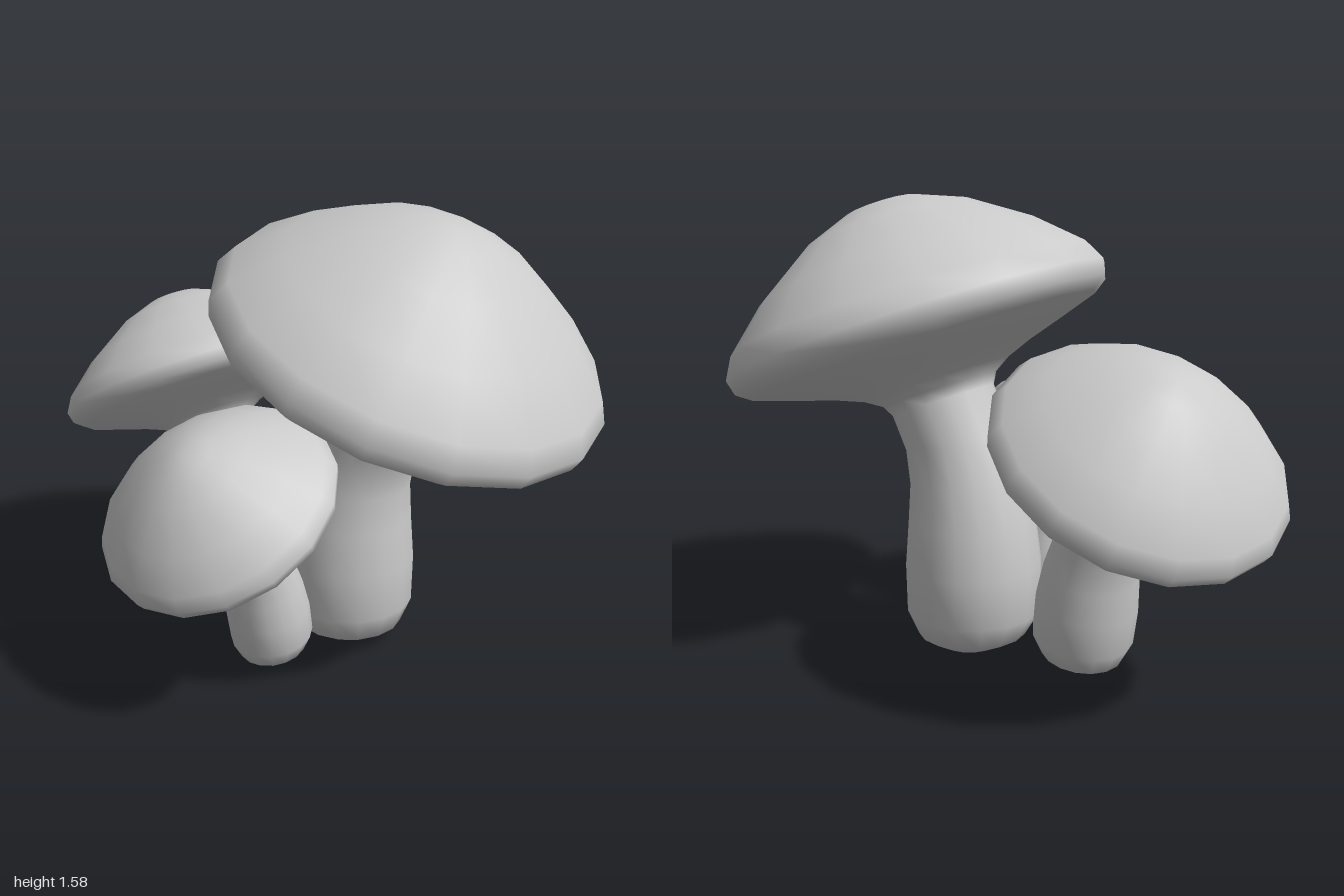
import * as THREE from 'three';
import { mergeVertices } from 'three/addons/utils/BufferGeometryUtils.js';

const SIDES = 16;

// Stem rings, bottom to top: [forward offset, height, radius, forward tilt]
const stem = [
  [0.02, 0, 0, 0], [0.02, 0.01, 0.1, 0], [0.01, 0.06, 0.19, 0], [0, 0.15, 0.235, 0],
  [0, 0.32, 0.238, 0], [0.005, 0.48, 0.222, 0.03], [0.023, 0.62, 0.2, 0.1],
  [0.06, 0.75, 0.186, 0.24],
];

// Cap profile, gills to crown: [radius, height along the tilted cap axis]
const cap = [
  [0.183, -0.26], [0.205, -0.22], [0.26, -0.185], [0.35, -0.15], [0.48, -0.11], [0.62, -0.065],
  [0.67, -0.03], [0.685, 0.025], [0.645, 0.1], [0.5, 0.235], [0.3, 0.37], [0.13, 0.44], [0, 0.46],
];
const CAP_TILT = 0.387, CAP_Z = 0.225, CAP_Y = 1.12;

// One skin lofted through the stem and cap rings
function mushroomGeometry() {
  const rings = [
    ...stem,
    ...cap.map(([r, h]) => [
      CAP_Z + h * Math.sin(CAP_TILT), CAP_Y + h * Math.cos(CAP_TILT), r, CAP_TILT,
    ]),
  ];
  const positions = [], index = [];
  rings.forEach(([z, y, r, tilt], i) => {
    for (let j = 0; j < SIDES; j++) {
      const a = (j / SIDES) * Math.PI * 2;
      const s = r * Math.sin(a);
      positions.push(r * Math.cos(a), y - s * Math.sin(tilt), z + s * Math.cos(tilt));
      if (i === rings.length - 1) continue;
      const k = (j + 1) % SIDES;
      const p = i * SIDES + j, q = i * SIDES + k;
      // the first and last rings are poles, so each needs only one triangle
      if (i < rings.length - 2) index.push(p, p + SIDES, q + SIDES);
      if (i > 0) index.push(p, i < rings.length - 2 ? q + SIDES : p + SIDES, q);
    }
  });
  let g = new THREE.BufferGeometry();
  g.setAttribute('position', new THREE.Float32BufferAttribute(positions, 3));
  g.setIndex(index);
  g = mergeVertices(g, 1e-5);
  g.computeVertexNormals();
  return g;
}

export function createModel() {
  const group = new THREE.Group();
  group.name = 'mushroomCluster';
  const geometry = mushroomGeometry();
  const material = new THREE.MeshStandardMaterial({ color: 0xcccccc });

  // Same mushroom at three sizes, leaning outwards from the middle
  const add = (name, position, scale, yaw, lean) => {
    const m = new THREE.Mesh(geometry, material);
    m.name = name;
    m.position.set(...position);
    m.scale.setScalar(scale);
    m.rotation.set(lean, yaw, 0, 'YXZ');
    group.add(m);
  };
  add('largeMushroom', [0.12, 0, 0.135], 1, 0, 0);
  add('mediumMushroom', [0.06, 0.02, -0.27], 0.735, Math.PI - 0.34, 0.17);
  add('smallMushroom', [-0.2, 0.02, 0.05], 0.605, -Math.PI / 2 - 0.14, 0.175);
  return group;
}
